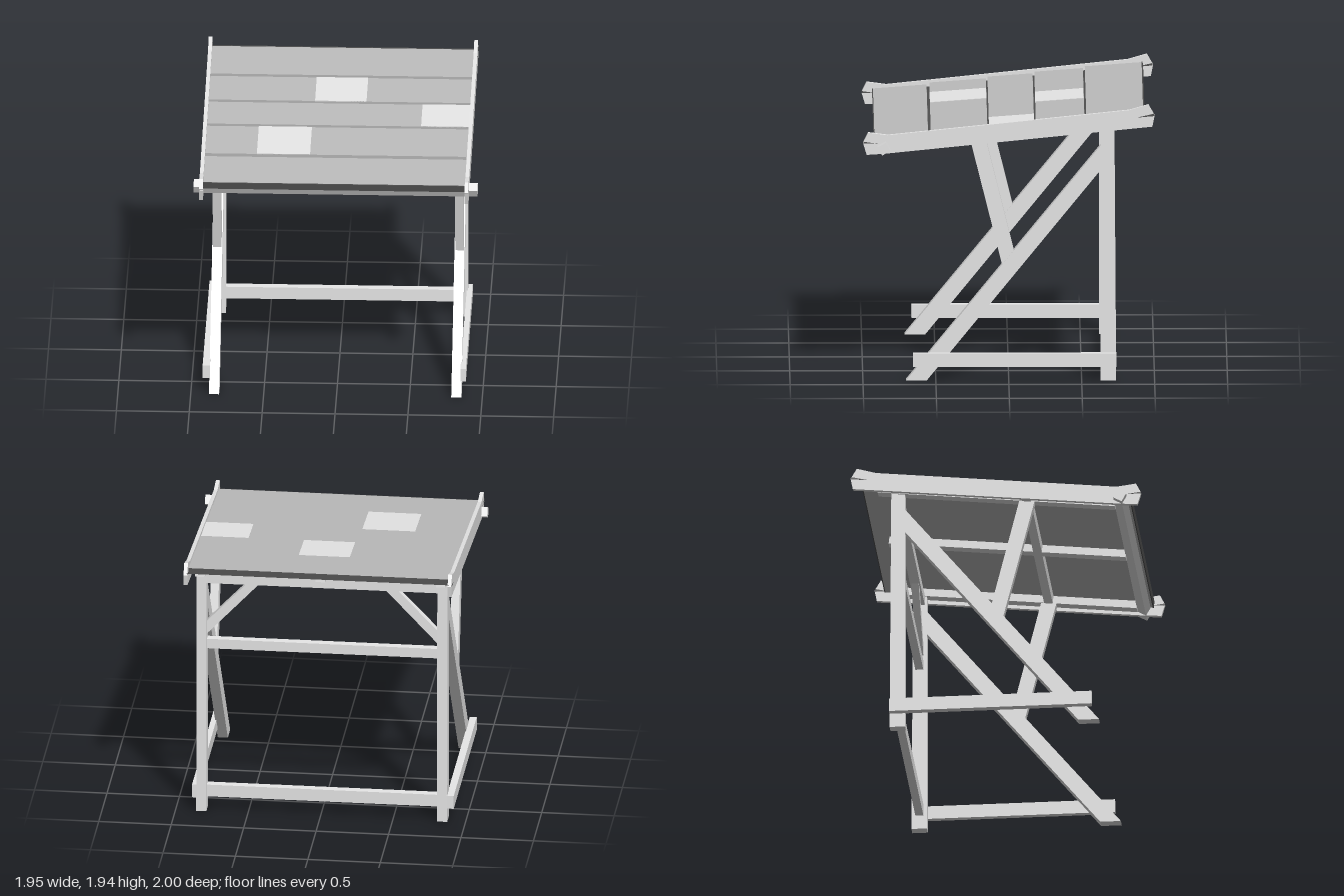
import * as THREE from 'three';

const paleWood = new THREE.MeshStandardMaterial({ color: 0xe7e7e7 });
const roofGrey = new THREE.MeshStandardMaterial({ color: 0xbcbcbc });
const darkEdge = new THREE.MeshStandardMaterial({ color: 0x505050 });
paleWood.name = 'paleWood';
roofGrey.name = 'roofGrey';
darkEdge.name = 'darkEdge';

// Box given by its min/max extents
function box(parent, name, mat, [x0, x1], [y0, y1], [z0, z1]) {
  const m = new THREE.Mesh(new THREE.BoxGeometry(x1 - x0, y1 - y0, z1 - z0), mat);
  m.position.set((x0 + x1) / 2, (y0 + y1) / 2, (z0 + z1) / 2);
  m.name = name;
  parent.add(m);
  return m;
}

function prism(points, depth) {
  const shape = new THREE.Shape(points.map(([a, b]) => new THREE.Vector2(a, b)));
  return new THREE.ExtrudeGeometry(shape, { depth, bevelEnabled: false }).translate(0, 0, -depth / 2);
}

// Timber outlined in (z, y), with its thickness along x
function sideTimber(parent, name, points, x, width, mat = paleWood) {
  const m = new THREE.Mesh(prism(points, width).rotateY(-Math.PI / 2), mat);
  m.position.x = x;
  m.name = name;
  parent.add(m);
}

export function createModel() {
  const model = new THREE.Group();
  model.name = 'lean-to stall';
  const frame = new THREE.Group();
  frame.name = 'frame';
  frame.position.x = -0.009;
  model.add(frame);

  for (const [s, side] of [[1, 'left'], [-1, 'right']]) {
    const x = s * 0.831;
    // Upright at the back, leaning leg and short strut
    sideTimber(frame, side + 'Post', [[-0.63, 0], [-0.63, 1.753], [-0.725, 1.763], [-0.737, 0]], x, 0.07);
    sideTimber(frame, side + 'LeaningLeg', [[0.705, 0], [-0.64, 1.652], [-0.64, 1.482], [0.563, 0]], x, 0.07);
    sideTimber(frame, side + 'Strut', [[0.26, 1.665], [0.155, 1.675], [-0.035, 0.905], [0.045, 0.805]], x, 0.058);
    // Corner brace between post and back beam
    const brace = new THREE.Mesh(prism(
      [[s * 0.8, 1.402], [s * 0.8, 1.306], [s * 0.435, 1.695], [s * 0.52, 1.695]], 0.05), paleWood);
    brace.position.z = -0.68;
    brace.name = side + 'CornerBrace';
    frame.add(brace);
    // Roof side board with flared ends
    sideTimber(frame, side + 'RoofSideBoard', [
      [1.0, 1.673], [0.975, 1.588], [0.86, 1.595], [-0.985, 1.783], [-1.0, 1.862],
      [-0.957, 1.936], [-0.825, 1.898], [0.83, 1.725], [0.965, 1.743]], s * 0.911, 0.026);
    // Dark splits at the board ends
    sideTimber(frame, side + 'FrontSplit', [[0.998, 1.68], [0.9, 1.666], [0.998, 1.667]], s * 0.911, 0.028, darkEdge);
    sideTimber(frame, side + 'BackSplit', [[-0.998, 1.857], [-0.875, 1.846], [-0.994, 1.873]], s * 0.911, 0.028, darkEdge);
  }

  // Low side rails on the outside of the legs
  box(frame, 'leftLowRail', paleWood, [0.857, 0.895], [0.1, 0.195], [-0.738, 0.658]);
  box(frame, 'rightLowRail', paleWood, [-0.911, -0.862], [0.1, 0.195], [-0.738, 0.658]);

  // Rails across the back
  const across = [-0.8, 0.8];
  box(frame, 'backLowRail', paleWood, across, [0.1, 0.187], [-0.71, -0.655]);
  box(frame, 'backMiddleRail', paleWood, across, [1.203, 1.273], [-0.71, -0.655]);
  box(frame, 'backTopBeam', paleWood, across, [1.69, 1.765], [-0.715, -0.645]);

  // Square pole under the front edge, turned on its axis
  const pole = box(model, 'frontPole', paleWood, [-0.974, 0.974], [1.606, 1.672], [0.823, 0.889]);
  pole.rotation.x = 0.5;

  // Sloping roof with a grey lining below and dark front and back edges
  const roof = new THREE.Group();
  roof.name = 'roof';
  roof.position.set(-0.009, 1.789, 0.007);
  roof.rotation.x = Math.atan(0.105);
  model.add(roof);
  const wide = [-0.898, 0.898];
  box(roof, 'roofLining', roofGrey, wide, [-0.042, -0.026], [-0.933, 0.918]);
  box(roof, 'frontRoofEdge', darkEdge, wide, [-0.042, 0.005], [0.918, 0.925]);
  box(roof, 'backRoofEdge', darkEdge, wide, [-0.042, -0.003], [-0.94, -0.933]);

  // Roof sheets, each lifted a little at its front, some with a pale patch
  const sheets = [
    { z: [-0.933, -0.542] },
    { z: [-0.528, -0.194], patch: [-0.168, 0.185] },
    { z: [-0.181, 0.129], patch: [0.57, 0.898] },
    { z: [0.141, 0.53], patch: [-0.543, -0.178] },
    { z: [0.55, 0.918] }];
  sheets.forEach(({ z: [z0, z1], patch }, i) => {
    const panel = new THREE.Group();
    panel.name = 'roofPanel';
    panel.position.z = (z0 + z1) / 2;
    panel.rotation.x = -0.03;
    roof.add(panel);
    const half = (z1 - z0) / 2;
    box(panel, 'roofSheet', roofGrey, wide, [-0.03, 0], [-half, half]);
    if (patch) box(panel, 'roofPatch', paleWood, patch, [-0.004, 0.003], [-half, half]);
    // Dark bottom of the gap to the next sheet
    if (i < 4) box(roof, 'roofGap', darkEdge, wide, [-0.027, -0.021], [z1 - 0.002, sheets[i + 1].z[0] + 0.002]);
  });

  // Rafters and cross purlin below the roof
  for (const x of [-0.831, 0, 0.831])
    box(roof, 'rafter', paleWood, [x - 0.033, x + 0.033], [-0.097, -0.042], [-0.82, 0.82]);
  box(roof, 'purlin', paleWood, [-0.89, 0.89], [-0.098, -0.042], [0.18, 0.24]);

  return model;
}
